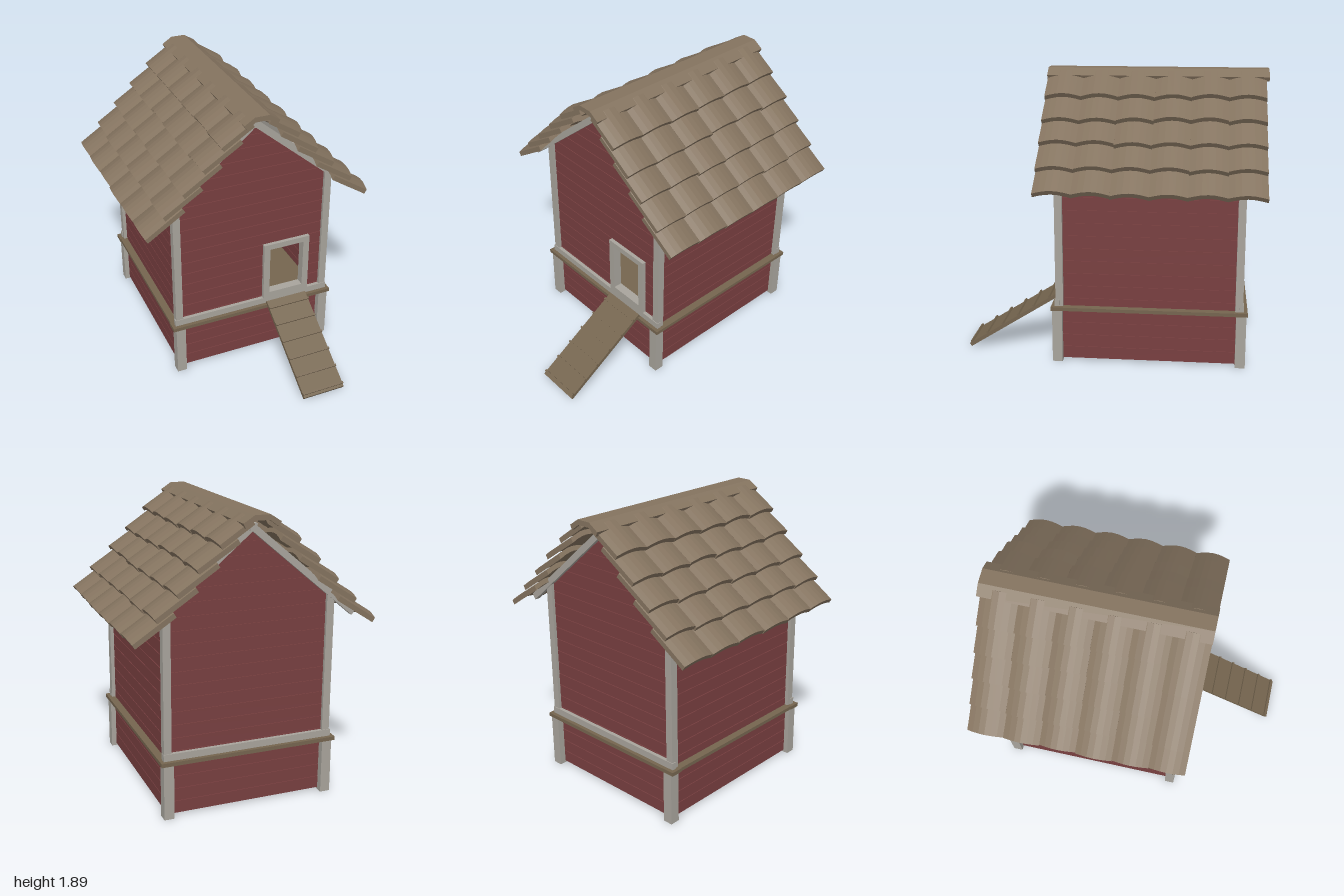
import * as THREE from 'three';

const mat = (color) => new THREE.MeshStandardMaterial({ color, flatShading: true });
const RED = mat(0x783f40), TRIM = mat(0xa8a49c), WOOD = mat(0x75654f), ROOF = mat(0x84735f);
const CZ = -0.25;           // middle of the house along z
const PITCH = 0.085;        // height of one wall plank
const GAP = 0.005;          // groove between planks

export function createModel() {
  const model = new THREE.Group();
  model.name = 'coop';

  let seed = 7;
  const jitter = (a) => {
    seed = (seed * 16807) % 2147483647;
    return (seed / 2147483647 - 0.5) * 2 * a;
  };
  const add = (name, geometry, material, parent = model) => {
    const mesh = new THREE.Mesh(geometry, material);
    mesh.name = name;
    parent.add(mesh);
    return mesh;
  };
  // Box given by its min and max on each axis
  const box = (name, material, x0, x1, y0, y1, z0, z1, parent) => {
    const mesh = add(name, new THREE.BoxGeometry(x1 - x0, y1 - y0, z1 - z0), material, parent);
    mesh.position.set((x0 + x1) / 2, (y0 + y1) / 2, (z0 + z1) / 2);
    return mesh;
  };
  const polygon = (pts) => new THREE.Shape(pts.map(([x, y]) => new THREE.Vector2(x, y)));
  const extrude = (shape, depth) => new THREE.ExtrudeGeometry(shape, { depth, bevelEnabled: false });
  const group = (name) => {
    const g = new THREE.Group();
    g.name = name;
    model.add(g);
    return g;
  };

  // Gable walls: planks around a thin core, the front one with a doorway
  const halfWidth = (y) => Math.min(0.53, Math.max(0.004, (1.79 - y) / 0.8));
  const door = { x0: 0.115, x1: 0.385, y0: 0.44, y1: 0.855 };
  const gableWall = (name, z, hasDoor) => {
    const wall = group(name);
    for (let k = 0; k < 21; k++) {
      const y0 = 0.015 + k * PITCH, y1 = Math.min(y0 + PITCH - GAP, 1.785);
      const a = halfWidth(y0), b = halfWidth(y1), mid = (y0 + y1) / 2;
      const pieces = hasDoor && mid > door.y0 && mid < door.y1
        ? [[-a, door.x0, -b, door.x0], [door.x1, a, door.x1, b]]
        : [[-a, a, -b, b]];
      for (const [l0, r0, l1, r1] of pieces) {
        const plank = extrude(polygon([[l0, y0], [r0, y0], [r1, y1], [l1, y1]]), 0.03);
        add('gablePlank', plank, RED, wall).position.z = z;
      }
    }
    const core = polygon([[-0.52, 0.02], [0.52, 0.02], [0.52, 1.36], [0, 1.78], [-0.52, 1.36]]);
    if (hasDoor) {
      const { x0, x1, y0, y1 } = door;
      core.holes.push(polygon([[x0, y0], [x0, y1], [x1, y1], [x1, y0]]));
    }
    add('gableCore', extrude(core, 0.018), RED, wall).position.z = z + 0.006;
  };
  gableWall('frontWall', 0.31, true);
  gableWall('backWall', -0.84, false);

  // Side walls with a top plate under the eaves
  for (const s of [-1, 1]) {
    const wall = group(s > 0 ? 'leftWall' : 'rightWall');
    const sideBox = (name, m, xa, xb, y0, y1, z0, z1) =>
      box(name, m, Math.min(s * xa, s * xb), Math.max(s * xa, s * xb), y0, y1, z0, z1, wall);
    for (let k = 0; k < 15; k++) {
      const y = 0.015 + k * PITCH;
      sideBox('sidePlank', RED, 0.51, 0.54, y, y + PITCH - GAP, -0.82, 0.32);
    }
    sideBox('sideCore', RED, 0.516, 0.534, 0.02, 1.3, -0.82, 0.32);
    sideBox('topPlate', TRIM, 0.505, 0.555, 1.25, 1.34, -0.82, 0.32);
  }

  // Corner posts: thicker below the belt, slimmer above
  for (const sx of [-1, 1]) {
    for (const sz of [-1, 1]) {
      const post = (name, x, z, w, y0, y1) =>
        box(name, TRIM, x - w / 2, x + w / 2, y0, y1, z - w / 2, z + w / 2);
      post('lowerPost', sx * 0.541, CZ + sz * 0.6, 0.066, 0, 0.37);
      post('upperPost', sx * 0.54, CZ + sz * 0.585, 0.05, 0.38, 1.345);
    }
  }

  // Floor, belt boards and bottom rails of the gables
  box('floor', WOOD, -0.512, 0.512, 0.355, 0.38, -0.815, 0.315);
  for (const s of [-1, 1]) {
    const zOut = CZ + s * 0.64, zIn = CZ + s * 0.56;
    box('endBelt', WOOD, -0.595, 0.59, 0.36, 0.385, Math.min(zOut, zIn), Math.max(zOut, zIn));
    box('sideBelt', WOOD, s * 0.55 - 0.04, s * 0.55 + 0.04, 0.361, 0.384, -0.885, 0.385);
    const zRail = CZ + s * 0.6;
    box('bottomRail', TRIM, -0.572, 0.568, 0.385, 0.43, zRail - 0.015, zRail + 0.015);
  }

  // Door frame
  const frame = polygon([[0.08, 0.43], [0.42, 0.43], [0.42, 0.865], [0.08, 0.865]]);
  frame.holes.push(polygon([[0.125, 0.47], [0.125, 0.825], [0.375, 0.825], [0.375, 0.47]]));
  add('doorFrame', extrude(frame, 0.06), TRIM).position.z = 0.306;

  // Ramp with cleats, sloping down to the front
  const ramp = group('ramp');
  const run = 0.61, rise = 0.385, length = Math.hypot(run, rise);
  ramp.position.set(0.248, 0.208, 0.68);
  ramp.rotation.x = Math.atan2(rise, run);
  box('rampBoard', WOOD, -0.15, 0.15, -0.012, 0.012, -length / 2, length / 2, ramp);
  for (let i = 0; i < 6; i++) {
    const z = length / 2 - 0.025 - i * 0.128;
    box('rampCleat', WOOD, -0.152, 0.152, 0.01, 0.025, z - 0.007, z + 0.007, ramp);
  }

  // Barge boards and ridge beam
  const barge = polygon([[0, 1.77], [0.69, 1.19], [0.715, 1.225], [0, 1.825], [-0.715, 1.225], [-0.69, 1.19]]);
  for (const z of [0.33, -0.865]) add('bargeBoard', extrude(barge, 0.035), TRIM).position.z = z;
  box('ridgeBeam', TRIM, -0.023, 0.023, 1.775, 1.82, -0.88, 0.38);

  // Arched roof tiles, five overlapping rows of six on each slope
  const roof = group('roofTiles');
  const tileGeometry = (len) => {
    const top = [], bottom = [];
    for (let i = 0; i <= 6; i++) {
      const u = i / 3 - 1, v = 0.027 * Math.cos(u * Math.PI / 2);
      bottom.push([u * 0.121, v]);
      top.unshift([u * 0.121, v + 0.032]);
    }
    return extrude(polygon([...bottom, ...top]), len);
  };
  const longTile = tileGeometry(0.3), shortTile = tileGeometry(0.24);
  for (const s of [-1, 1]) {
    const down = new THREE.Vector3(s * 0.841, -0.541, 0);
    const normal = new THREE.Vector3(s * 0.541, 0.841, 0);
    const across = new THREE.Vector3().crossVectors(normal, down);
    const basis = new THREE.Matrix4().makeBasis(across, normal, down);
    for (let row = 0; row < 5; row++) {
      const len = row === 4 ? 0.24 : 0.3;
      for (let col = 0; col < 6; col++) {
        const tile = add('roofTile', row === 4 ? shortTile : longTile, ROOF, roof);
        tile.quaternion.setFromRotationMatrix(basis);
        tile.position.set(s * (0.77 - row * 0.131), 1.167 + row * 0.133, 0.34 - col * 0.24)
          .addScaledVector(down, -len + jitter(0.007));
        tile.rotateX(jitter(0.012));
      }
    }
  }

  // Ridge cap
  const cap = polygon([
    [-0.105, 1.815], [-0.045, 1.857], [0.045, 1.857], [0.105, 1.815],
    [0.12, 1.845], [0.05, 1.89], [-0.05, 1.89], [-0.12, 1.845],
  ]);
  add('ridgeCap', extrude(cap, 1.465), ROOF).position.z = -1;

  return model;
}
